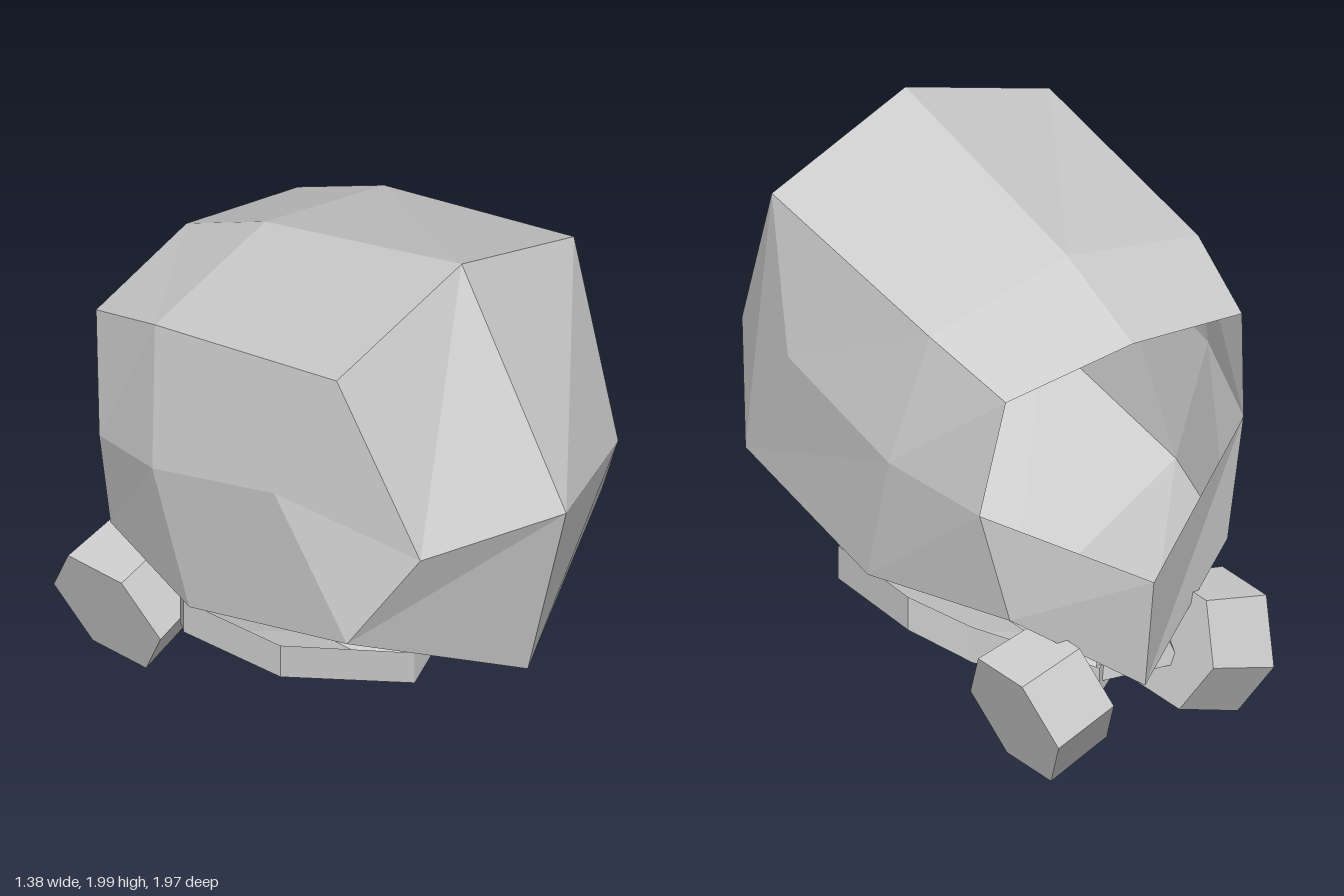
import * as THREE from 'three';

const material = new THREE.MeshStandardMaterial({
  color: 0xcccccc, flatShading: true, side: THREE.DoubleSide,
});

// Builds a mirrored faceted surface from named points of the +x half and quads between them.
function mirroredSurface(name, points, quads) {
  const positions = [];
  for (const side of [1, -1]) {
    for (const quad of quads) {
      const corners = quad.split(' ').map((key) => points[key]);
      if (side < 0) corners.reverse();
      for (const i of [0, 1, 2, 0, 2, 3]) {
        const [x, y, z] = corners[i];
        positions.push(x * side, y, z);
      }
    }
  }
  const geometry = new THREE.BufferGeometry();
  geometry.setAttribute('position', new THREE.Float32BufferAttribute(positions, 3));
  geometry.computeVertexNormals();
  const mesh = new THREE.Mesh(geometry, material);
  mesh.name = name;
  return mesh;
}

// Tapered prism running from one point to another.
function prism(name, from, to, r0, r1, sides) {
  const a = new THREE.Vector3(...from);
  const b = new THREE.Vector3(...to);
  const dir = b.clone().sub(a);
  const mesh = new THREE.Mesh(
    new THREE.CylinderGeometry(r1, r0, dir.length(), sides), material);
  mesh.position.copy(a).add(b).multiplyScalar(0.5);
  mesh.quaternion.setFromUnitVectors(new THREE.Vector3(0, 1, 0), dir.normalize());
  mesh.name = name;
  return mesh;
}

export function createModel() {
  const model = new THREE.Group();
  model.name = 'hollowHood';

  // Hollow shell, open at the back: c = centre line, s = side edge, m = widest points
  model.add(mirroredSurface('shell', {
    chin: [0, 0.46, 0.81], nose: [0, 1.19, 0.99], crown: [0, 2, 0.5],
    c1: [0, 1.75, -0.42], rimTop: [0, 1.57, -0.79],
    rimLow: [0, 0.68, -0.91], heel: [0, 0.25, -0.86], belly: [0, 0.16, -0.1],
    s0: [0.645, 0.77, 0.56], s1: [0.5, 1.14, 0.77], s2: [0.6, 1.8, 0.47],
    s3: [0.58, 1.62, -0.4], s4: [0.51, 1.49, -0.74], s5: [0.57, 1.03, -0.67],
    s6: [0.47, 0.6, -0.71], s7: [0.665, 0.6, -0.16],
    m0: [0.69, 1.28, 0.26], m1: [0.69, 1.12, -0.31],
  }, [
    'chin s0 s1 nose', 'nose s1 s2 crown', 'crown s2 s3 c1', 'c1 s3 s4 rimTop',
    's0 m0 s2 s1', 'm0 m1 s3 s2', 's0 s7 m1 m0', 'm1 s5 s4 s3', 's7 s6 s5 m1',
    's6 heel rimLow s5', 'chin belly s7 s0', 'belly heel s6 s7',
  ]));

  // V-shaped collar wrapped under the shell
  model.add(mirroredSurface('collar', {
    frontTop: [0, 0.28, 0.28], frontLow: [0, 0.155, 0.28],
    sideTop: [0.55, 0.53, 0.16], sideLow: [0.55, 0.4, 0.16],
    rearTop: [0.575, 0.53, -0.27], rearLow: [0.575, 0.4, -0.27],
    endTop: [0.42, 0.43, -0.43], endLow: [0.42, 0.29, -0.43],
    knotTop: [0, 0.2, -0.6], knotLow: [0, 0.09, -0.6], mid: [0, 0.155, -0.19],
  }, [
    'frontLow sideLow sideTop frontTop', 'sideLow rearLow rearTop sideTop',
    'rearLow endLow endTop rearTop', 'endLow knotLow knotTop endTop',
    'frontLow mid rearLow sideLow', 'mid knotLow endLow rearLow',
  ]));

  // Hexagonal end knobs, each tied to the collar by a short strand
  for (const [side, label] of [[1, 'left'], [-1, 'right']]) {
    model.add(prism(label + 'Knob', [0.215 * side, 0.29, -0.73],
      [0.465 * side, 0.215, -0.73], 0.235, 0.25, 6));
    model.add(prism(label + 'Strand', [0.03 * side, 0.16, -0.56],
      [0.24 * side, 0.27, -0.7], 0.04, 0.09, 4));
  }
  return model;
}
